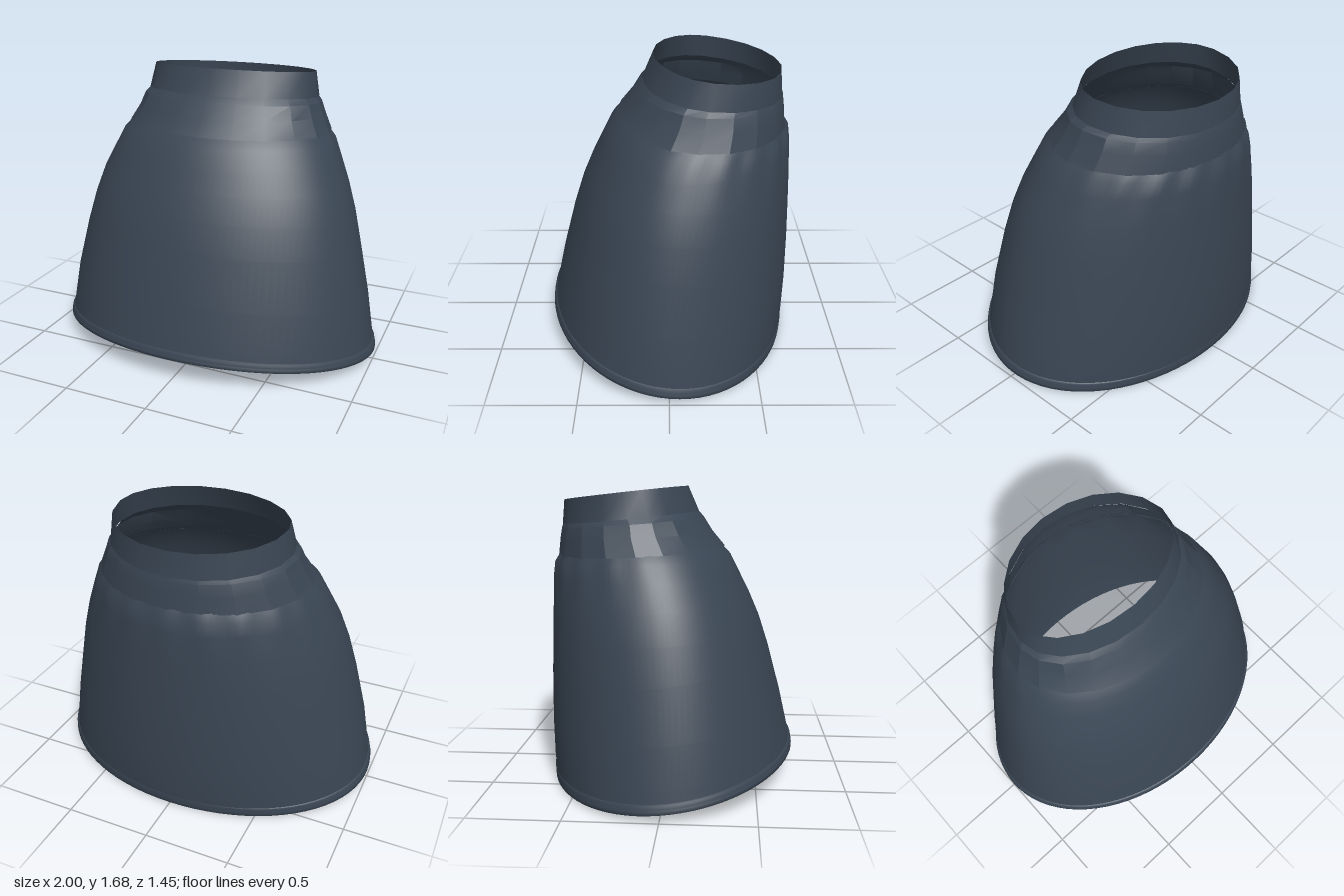
import * as THREE from 'three';
import { toCreasedNormals } from 'three/addons/utils/BufferGeometryUtils.js';

const navyCloth = new THREE.MeshStandardMaterial({ color: 0x3a4654, side: THREE.DoubleSide });
navyCloth.name = 'navyCloth';

// Closed loft through tilted oval rings listed from bottom to top.
// Ring: [half width, front z, back z, z of widest point, front y, back y, sag, gather depth]
function loft(rings, sides) {
  const positions = [];
  const index = [];
  rings.forEach(([w, zf, zb, zc, yf, yb, sag = 0, gather = 0], r) => {
    for (let i = 0; i < sides; i++) {
      const a = (i / sides) * Math.PI * 2;
      const c = Math.cos(a);
      // Gathers ripple over the sides and back only
      const k = 1 + gather * Math.cos(a * 20) * Math.max(0, 0.35 - c);
      const z = zc + (c > 0 ? zf - zc : zc - zb) * c * k;
      const t = (z - zb) / (zf - zb);
      positions.push(w * Math.sin(a) * k, yb + (yf - yb) * t - 4 * sag * t * (1 - t), z);
      if (r === 0) continue;
      const j = (i + 1) % sides;
      const low = (r - 1) * sides, high = r * sides;
      index.push(low + i, low + j, high + j, low + i, high + j, high + i);
    }
  });
  const geometry = new THREE.BufferGeometry();
  geometry.setAttribute('position', new THREE.Float32BufferAttribute(positions, 3));
  geometry.setIndex(index);
  geometry.computeVertexNormals();
  return geometry;
}

export function createModel() {
  const model = new THREE.Group();
  model.name = 'skirt';
  const add = (name, geometry) => {
    const mesh = new THREE.Mesh(geometry, navyCloth);
    mesh.name = name;
    model.add(mesh);
  };

  // Flared body, tucked under the yoke at the top
  add('skirtBody', loft([
    [0.99, 0.718, -0.70, 0, 0.155, 0.005, 0.03],
    [0.972, 0.70, -0.712, 0, 0.24, 0.12, 0.025],
    [0.935, 0.65, -0.72, 0, 0.46, 0.33, 0.02],
    [0.87, 0.575, -0.72, -0.02, 0.74, 0.60, 0.01],
    [0.82, 0.52, -0.715, -0.04, 0.91, 0.83, 0.01],
    [0.765, 0.46, -0.71, -0.06, 1.05, 1.01, 0.005],
    [0.70, 0.40, -0.705, -0.09, 1.17, 1.17, 0, 0.004],
    [0.655, 0.345, -0.69, -0.12, 1.28, 1.25, 0, 0.012],
    [0.60, 0.28, -0.66, -0.15, 1.35, 1.31],
  ], 120));

  // Thin folded hem just outside the body
  add('hem', loft([
    [0.99, 0.716, -0.70, 0, 0.152, 0.003, 0.03],
    [1.0, 0.727, -0.707, 0, 0.15, 0.0, 0.03],
    [0.999, 0.725, -0.709, 0, 0.17, 0.022, 0.03],
    [0.992, 0.718, -0.709, 0, 0.175, 0.027, 0.03],
    [0.993, 0.72, -0.711, 0, 0.195, 0.05, 0.03],
    [0.981, 0.708, -0.709, 0, 0.20, 0.056, 0.03],
  ], 80));

  // Faceted yoke below the waistband
  add('yoke', toCreasedNormals(loft([
    [0.615, 0.295, -0.665, -0.15, 1.335, 1.285],
    [0.628, 0.31, -0.676, -0.15, 1.33, 1.28],
    [0.578, 0.235, -0.666, -0.18, 1.42, 1.38],
    [0.55, 0.185, -0.657, -0.19, 1.50, 1.44],
    [0.515, 0.145, -0.648, -0.21, 1.545, 1.47],
  ], 20), 0.3));

  // Plain open waistband
  add('waistband', loft([
    [0.528, 0.155, -0.652, -0.21, 1.535, 1.46],
    [0.50, 0.092, -0.64, -0.23, 1.68, 1.60],
  ], 20));

  return model;
}
